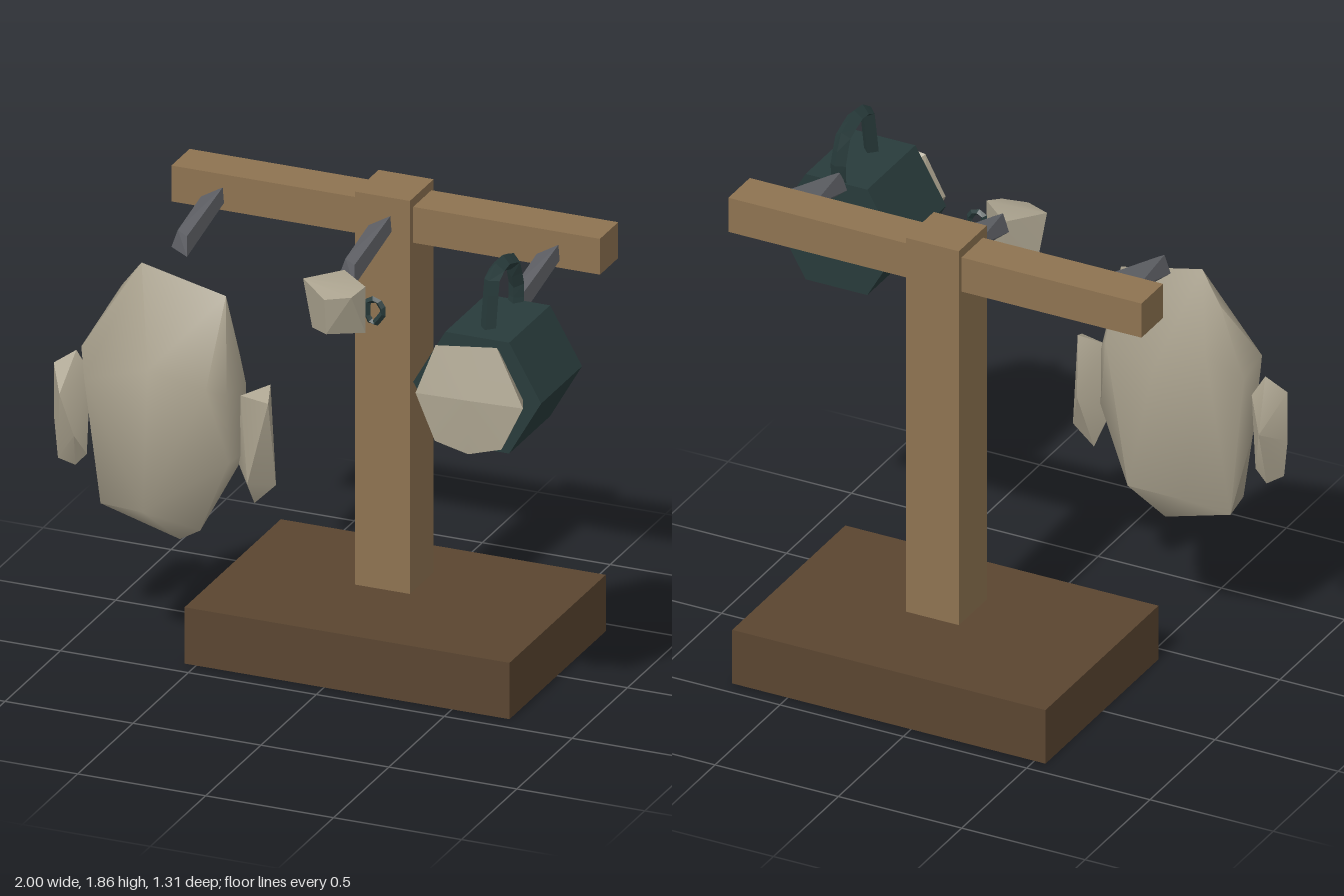
import * as THREE from 'three';
import { toCreasedNormals } from 'three/addons/utils/BufferGeometryUtils.js';
import { ConvexGeometry } from 'three/addons/geometries/ConvexGeometry.js';

function material(name, color, flatShading = false) {
  const m = new THREE.MeshStandardMaterial({ color, flatShading });
  m.name = name;
  return m;
}

export function createModel() {
  const model = new THREE.Group();
  model.name = 'mugStand';
  const darkWood = material('dark wood', 0x5a4530);
  const wood = material('wood', 0x8e7351);
  const clay = material('clay', 0xaaa28e);
  const glaze = material('dark glaze', 0x283b3b, true);
  const iron = material('iron', 0x5f6166);

  function add(name, geometry, mat) {
    const mesh = new THREE.Mesh(geometry, mat);
    mesh.name = name;
    model.add(mesh);
    return mesh;
  }

  // Box given by its minimum and maximum corners
  function block(name, mat, a, b) {
    const mesh = add(name, new THREE.BoxGeometry(b[0] - a[0], b[1] - a[1], b[2] - a[2]), mat);
    mesh.position.set((a[0] + b[0]) / 2, (a[1] + b[1]) / 2, (a[2] + b[2]) / 2);
  }

  // Faceted stone-like body around a few corner points, smoothed below the crease angle
  function stone(name, mat, points, crease) {
    const hull = new ConvexGeometry(points.map((p) => new THREE.Vector3(...p)));
    return add(name, toCreasedNormals(hull, crease), mat);
  }

  // Handle swept along a short path
  function handle(name, path, radius, closed) {
    const curve = new THREE.CurvePath();
    const pts = path.map((p) => new THREE.Vector3(...p));
    const spline = new THREE.CatmullRomCurve3(pts, closed, 'catmullrom', 0.1);
    return add(name, new THREE.TubeGeometry(spline, path.length * 2, radius, 4, closed), glaze);
  }

  // Wooden stand
  block('base', darkWood, [-0.545, 0, -0.44], [0.725, 0.22, 0.43]);
  block('post', wood, [-0.02, 0.27, -0.11], [0.195, 1.805, 0.105]);
  block('crossbar', wood, [-0.75, 1.63, -0.09], [0.925, 1.77, 0.075]);

  // Three sloping pegs
  for (const x of [-0.57, 0.085, 0.742]) {
    stone('peg', iron, [
      [-0.045, 1.69, 0.12], [0.04, 1.74, 0.12], [0.045, 1.68, 0.12], [-0.03, 1.665, 0.12],
      [-0.035, 1.61, 0.41], [0.03, 1.585, 0.42], [0.025, 1.66, 0.41], [-0.01, 1.68, 0.41],
    ], 0.2).position.x = x;
  }

  // Large jug with two ears
  stone('jug', clay, [
    [-0.67, 1.585, 0.53], [-0.34, 1.51, 0.53], [-0.76, 1.47, 0.5],
    [-0.875, 1.25, 0.6], [-0.86, 1.2, 0.49], [-0.74, 1.3, 0.42], [-0.54, 1.2, 0.395],
    [-0.33, 1.25, 0.43], [-0.275, 1.17, 0.5], [-0.29, 1.17, 0.64], [-0.35, 1.2, 0.69],
    [-0.57, 1.25, 0.705], [-0.84, 1.15, 0.655],
    [-0.258, 0.92, 0.53], [-0.29, 0.9, 0.62], [-0.865, 0.95, 0.55],
    [-0.8, 0.625, 0.5], [-0.8, 0.65, 0.6], [-0.52, 0.53, 0.53], [-0.41, 0.61, 0.6],
    [-0.42, 0.68, 0.43], [-0.6, 0.68, 0.68], [-0.65, 0.68, 0.43],
  ], 1.1);
  stone('jugRightEar', clay, [
    [-1, 1.15, 0.56], [-0.92, 1.205, 0.54], [-0.87, 1.12, 0.53], [-0.95, 1.06, 0.625],
    [-0.93, 1, 0.47], [-0.875, 0.81, 0.55], [-0.92, 0.76, 0.55], [-0.975, 0.79, 0.58],
    [-1, 0.95, 0.56], [-0.9, 0.9, 0.61],
  ], 0.6);
  stone('jugLeftEar', clay, [
    [-0.265, 1.15, 0.57], [-0.17, 1.19, 0.52], [-0.145, 1.15, 0.6], [-0.2, 0.97, 0.458],
    [-0.14, 0.81, 0.54], [-0.22, 0.73, 0.55], [-0.28, 0.87, 0.55], [-0.22, 0.83, 0.615],
  ], 0.6);

  // Small cup with a ring handle
  stone('smallCup', clay, [
    [-0.03, 1.64, 0.55], [0.075, 1.64, 0.42], [0.205, 1.64, 0.53], [0.09, 1.61, 0.635],
    [-0.015, 1.47, 0.51], [0.08, 1.46, 0.43], [0.205, 1.46, 0.53], [0.09, 1.47, 0.62],
    [0.01, 1.46, 0.56], [0.18, 1.62, 0.6],
  ], 0.3);
  handle('smallCupHandle', [
    [0.21, 1.58, 0.52], [0.245, 1.595, 0.52], [0.275, 1.55, 0.52],
    [0.235, 1.495, 0.52], [0.208, 1.52, 0.52],
  ], 0.013, true);

  // Hexagonal mug lying on its side
  const mugShape = new THREE.CylinderGeometry(0.25, 0.25, 0.37, 6);
  mugShape.rotateY(Math.PI / 6).rotateX(Math.PI / 2);
  add('mug', mugShape, glaze).position.set(0.75, 1.418, 0.595);
  mugShape.computeBoundingBox();
  if (mugShape.boundingBox.max.y > 0.24) mugShape.rotateZ(Math.PI / 6); // flats on top and bottom

  // Mug lid
  stone('mugLid', clay, [
    [0.6, 1.59, 0.81], [0.84, 1.62, 0.81], [0.96, 1.42, 0.852], [0.88, 1.25, 0.862],
    [0.75, 1.21, 0.862], [0.62, 1.24, 0.862], [0.54, 1.41, 0.852], [0.75, 1.42, 0.866],
    [0.62, 1.57, 0.782], [0.84, 1.59, 0.782], [0.93, 1.42, 0.782],
    [0.87, 1.26, 0.782], [0.64, 1.25, 0.782], [0.57, 1.41, 0.782],
  ], 0.2);

  // Mug handle arching front to back, wider at the back
  const arch = handle('mugHandle', [
    [0.75, 1.6, 0.685], [0.75, 1.81, 0.645], [0.748, 1.835, 0.56],
    [0.745, 1.8, 0.45], [0.745, 1.69, 0.41], [0.745, 1.6, 0.425],
  ], 0.03, false);
  arch.material.side = THREE.DoubleSide;

  return model;
}
